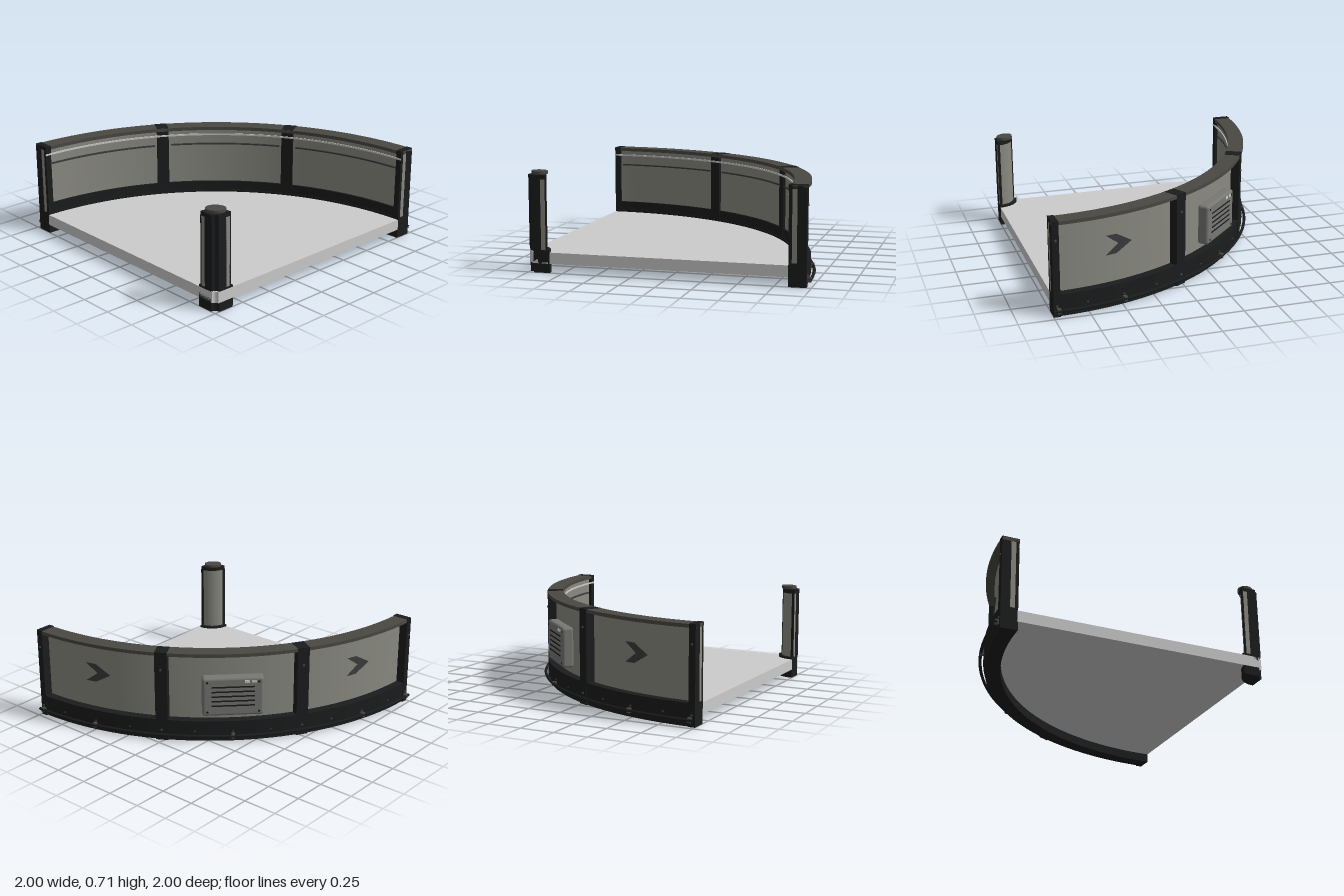
import * as THREE from 'three';
import { toCreasedNormals } from 'three/addons/utils/BufferGeometryUtils.js';
import { RoundedBoxGeometry } from 'three/addons/geometries/RoundedBoxGeometry.js';

const mat = (color) => new THREE.MeshStandardMaterial({ color });
const BLACK = mat(0x1b1c1d), DARK = mat(0x4a4843), PANEL = mat(0x8a8a82);
const GREY = mat(0xcccccc), MARK = mat(0x3c3c3e), BOX = mat(0x777773);
const DEG = Math.PI / 180;

export function createModel() {
  const root = new THREE.Group();
  // everything turns about one corner of the quarter circle
  const corner = new THREE.Group();
  corner.name = 'quarterCircleWalkway';
  corner.position.set(-1, 0, 1);
  root.add(corner);

  function mesh(name, geometry, material, parent = corner) {
    const m = new THREE.Mesh(geometry, material);
    m.name = name;
    parent.add(m);
    return m;
  }

  // ring sector: radii r0..r1, heights y0..y1, angles a0..a1 (0 = front end, 90 = back end)
  function sector(name, r0, r1, y0, y1, material, a0 = 0, a1 = 90) {
    const s = new THREE.Shape();
    s.absarc(0, 0, r1, a0 * DEG, a1 * DEG, false);
    s.absarc(0, 0, r0, a1 * DEG, a0 * DEG, true);
    const g = new THREE.ExtrudeGeometry(s, {
      depth: y1 - y0, bevelEnabled: false,
      curveSegments: Math.max(2, Math.ceil((a1 - a0) / 1.8)),
    });
    g.rotateX(-Math.PI / 2).translate(0, y0, 0);
    return mesh(name, toCreasedNormals(g, 0.5), material);
  }

  // group on the wall: local z points outwards, local x towards the back end
  function mount(name, angle, r, y) {
    const g = new THREE.Group();
    g.name = name;
    g.position.set(r * Math.cos(angle * DEG), y, -r * Math.sin(angle * DEG));
    g.rotation.y = angle * DEG + Math.PI / 2;
    corner.add(g);
    return g;
  }

  function box(name, w, h, d, x, y, z, material, parent) {
    mesh(name, new THREE.BoxGeometry(w, h, d), material, parent).position.set(x, y, z);
  }

  function bolt(parent, x, y, z, r = 0.008, material = DARK) {
    const m = mesh('bolt', new THREE.CylinderGeometry(r, r, 0.014, 8), material, parent);
    m.rotation.x = Math.PI / 2;
    m.position.set(x, y, z);
  }

  // floor
  sector('floor', 0.03, 1.85, 0.065, 0.145, GREY);

  // curved wall: base, panel, kick strip, top rail
  sector('baseSill', 1.845, 1.955, 0, 0.04, BLACK);
  sector('base', 1.845, 1.965, 0.04, 0.16, BLACK);
  sector('wallPanel', 1.868, 1.902, 0.16, 0.655, PANEL);
  sector('kickStrip', 1.852, 1.869, 0.16, 0.23, BLACK);
  sector('topRail', 1.845, 1.965, 0.655, 0.68, DARK);
  sector('lightStrip', 1.842, 1.848, 0.614, 0.627, GREY);
  for (const a of [0, 30, 60]) {
    sector('handRail', 1.855, 1.869, 0.534, 0.545, MARK, a + 2, a + 28);
  }

  // posts between the panels
  for (const a of [30, 60]) {
    const post = mount('post', a, 1.908, 0);
    box('postBody', 0.09, 0.682, 0.118, 0, 0.341, 0, BLACK, post);
    for (const y of [0.08, 0.55]) bolt(post, 0, y, 0.06);
  }

  // end posts, with the panel edge showing between their two legs
  for (const [a0, a1] of [[0, 1.4], [88.6, 90]]) {
    sector('endPostOuter', 1.902, 1.968, 0, 0.682, BLACK, a0, a1);
    sector('endPostInner', 1.845, 1.868, 0.16, 0.682, BLACK, a0, a1);
    sector('endCap', 1.842, 1.967, 0.655, 0.683, BLACK, a0, a1);
    const bolts = mount('endBolts', (a0 + a1) / 2, 1.969, 0);
    for (const y of [0.08, 0.55]) bolt(bolts, 0, y, 0);
  }

  // cable along the base, with clamps and bolts
  class Arc extends THREE.Curve {
    getPoint(t, target = new THREE.Vector3()) {
      const a = t * Math.PI / 2;
      return target.set(1.987 * Math.cos(a), 0.05, -1.987 * Math.sin(a));
    }
  }
  mesh('cable', new THREE.TubeGeometry(new Arc(), 64, 0.011, 8, false), BLACK);
  for (const a of [1, 15, 45, 75, 89]) {
    box('cableClamp', 0.025, 0.034, 0.034, 0, 0, 0, DARK, mount('clamp', a, 1.978, 0.05));
  }
  for (const a of [7, 15, 23, 37, 45, 53, 67, 75, 83]) {
    bolt(mount('baseBolt', a, 1.964, 0.08), 0, 0, 0, 0.006);
  }

  // arrow marks on the outer panels
  const arrow = new THREE.Shape([
    [-0.1, 0.07], [-0.02, 0.07], [0.1, 0], [-0.02, -0.07], [-0.1, -0.07], [-0.005, 0],
  ].map(([x, y]) => new THREE.Vector2(x, y)));
  for (const a of [15, 75]) {
    mesh('arrowMark', new THREE.ExtrudeGeometry(arrow, { depth: 0.008, bevelEnabled: false }),
      MARK, mount('arrow', a, 1.898, 0.43));
  }

  // ventilation box on the middle panel
  const vent = mount('ventBox', 45, 1.93, 0.353);
  mesh('ventHousing', new RoundedBoxGeometry(0.44, 0.295, 0.085, 3, 0.02), BOX, vent);
  for (let i = 0; i < 5; i++) {
    box('ventSlot', 0.31, 0.011, 0.006, 0, 0.077 - i * 0.036, 0.041, BLACK, vent);
  }
  for (const x of [0.1, 0.15]) box('button', 0.035, 0.02, 0.008, x, 0.118, 0.042, GREY, vent);
  for (const x of [-0.185, 0.185]) {
    for (const y of [-0.115, 0.115]) bolt(vent, x, y, 0.038, 0.009, BLACK);
  }

  // small inner corner post, a tight version of the wall
  sector('cornerBase', 0.04, 0.158, 0, 0.16, BLACK);
  sector('cornerCore', 0.03, 0.1, 0.16, 0.682, BLACK);
  sector('cornerPanel', 0.098, 0.132, 0.16, 0.655, PANEL);
  sector('cornerTop', 0.03, 0.138, 0.655, 0.685, BLACK);
  for (const a of [0, 82]) sector('cornerEdge', 0.13, 0.14, 0.16, 0.66, BLACK, a, a + 8);
  const cap = mount('cornerCap', 45, 0.098, 0.698);
  mesh('capDisc', new THREE.CylinderGeometry(0.06, 0.06, 0.02, 32).scale(1.15, 1, 0.9), DARK, cap);

  return root;
}
